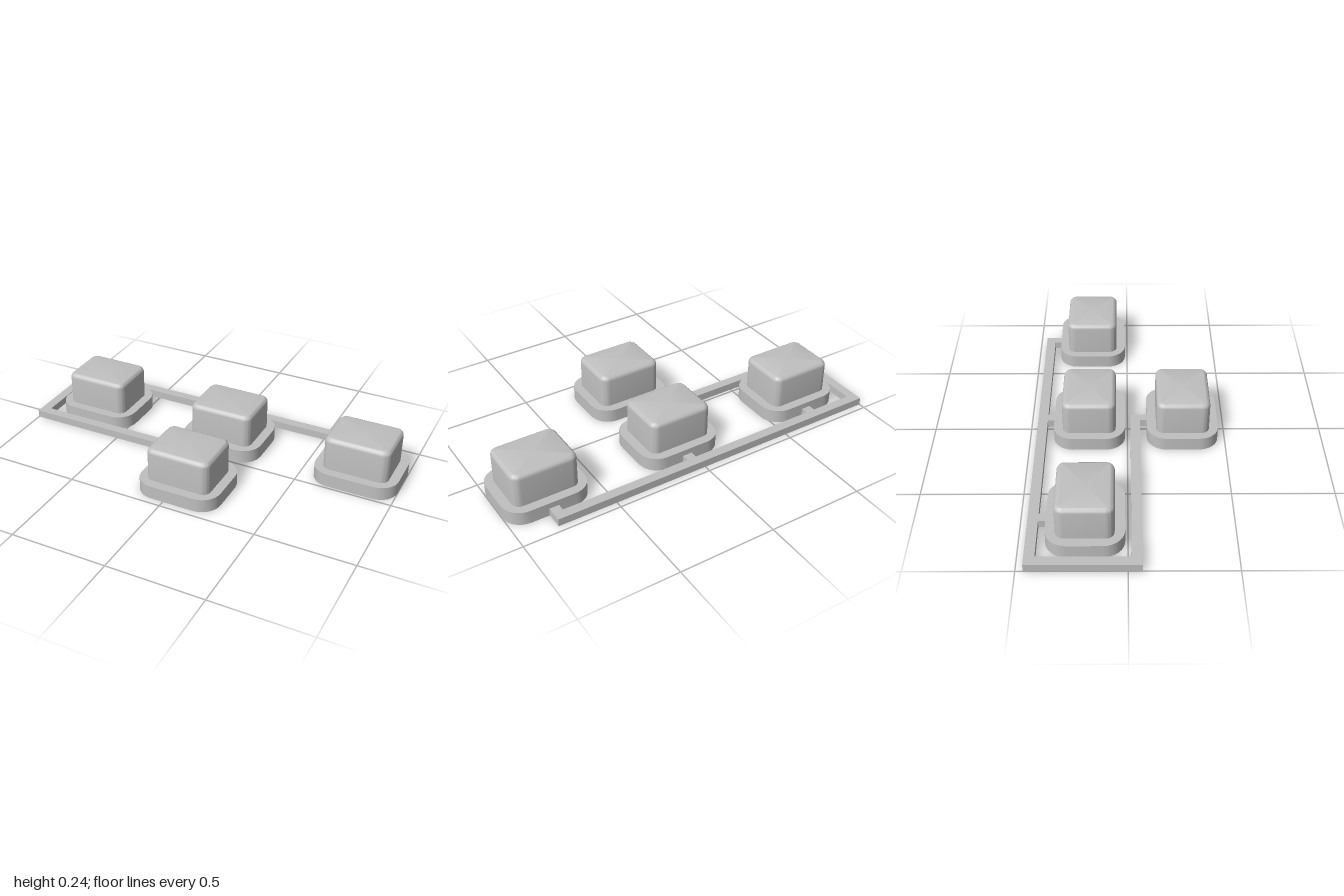
import * as THREE from 'three';
import { toCreasedNormals } from 'three/addons/utils/BufferGeometryUtils.js';

const BASE_H = 0.07, TOP_Y = 0.243, RUNNER_H = 0.04;

// Outline of a rounded rectangle in (x, z), counter-clockwise seen from +y
function roundedOutline(w, d, r, steps = 8) {
  const pts = [];
  [[1, 1], [-1, 1], [-1, -1], [1, -1]].forEach(([sx, sy], q) => {
    for (let i = 0; i <= steps; i++) {
      const a = (q + i / steps) * Math.PI / 2;
      pts.push(new THREE.Vector2(sx * (w / 2 - r) + r * Math.cos(a), sy * (d / 2 - r) + r * Math.sin(a)));
    }
  });
  return pts;
}

// Extrude a plan shape upwards from y = 0 (shape y is -z)
function extrudeUp(shape, height) {
  const g = new THREE.ExtrudeGeometry(shape, { depth: height, bevelEnabled: false, curveSegments: 32 });
  g.rotateX(-Math.PI / 2);
  return toCreasedNormals(g, 0.6);
}

// Flange with a round blind socket underneath
function flangeGeometry() {
  const shape = new THREE.Shape(roundedOutline(0.432, 0.365, 0.1));
  const hole = new THREE.Path();
  hole.absarc(0, 0, 0.11, 0, Math.PI * 2, true);
  shape.holes.push(hole);
  return extrudeUp(shape, BASE_H);
}

// Key cap: stacked outlines, with a fillet around the top edge
function capGeometry() {
  const w = 0.337, d = 0.27, r = 0.04, f = 0.025, steps = 6;
  const sections = [[0, BASE_H]];
  for (let i = 0; i <= steps; i++) {
    const a = i / steps * Math.PI / 2;
    sections.push([f * (1 - Math.cos(a)), TOP_Y - f + f * Math.sin(a)]);
  }
  const pos = [], index = [];
  let n = 0;
  for (const [inset, y] of sections) {
    const ring = roundedOutline(w - 2 * inset, d - 2 * inset, r - inset);
    n = ring.length;
    ring.forEach(p => pos.push(p.x, y, -p.y));
  }
  for (let s = 0; s < sections.length - 1; s++) {
    for (let i = 0; i < n; i++) {
      const j = (i + 1) % n, a = s * n, b = a + n;
      index.push(a + i, a + j, b + j, a + i, b + j, b + i);
    }
  }
  // Close bottom and top
  const last = (sections.length - 1) * n, c = pos.length / 3;
  pos.push(0, BASE_H, 0, 0, TOP_Y, 0);
  for (let i = 0; i < n; i++) {
    const j = (i + 1) % n;
    index.push(c, j, i, c + 1, last + i, last + j);
  }
  const g = new THREE.BufferGeometry();
  g.setAttribute('position', new THREE.Float32BufferAttribute(pos, 3));
  g.setIndex(index);
  return toCreasedNormals(g, 0.6);
}

export function createModel() {
  const model = new THREE.Group();
  model.name = 'buttonSet';
  const plastic = new THREE.MeshStandardMaterial({ color: 0xc0c0c0 });
  plastic.name = 'grey plastic';

  const add = (parent, geometry, name) => {
    const mesh = new THREE.Mesh(geometry, plastic);
    mesh.name = name;
    parent.add(mesh);
  };

  // Four identical buttons
  const flange = flangeGeometry(), cap = capGeometry();
  [['rightButton', -0.7, -0.195], ['middleButton', 0.048, -0.195],
    ['leftButton', 0.783, -0.195], ['frontButton', 0.048, 0.282]].forEach(([name, x, z]) => {
    const button = new THREE.Group();
    button.name = name;
    button.position.set(x, 0, z);
    add(button, flange, 'flange');
    add(button, cap, 'cap');
    model.add(button);
  });

  // Connecting runner: one flat outline with a short tab to each button
  const back = -0.465, backIn = -0.415, tabEnd = -0.376;
  const plan = [
    [-1, back], [0.806, back], [0.806, tabEnd], [0.756, tabEnd], [0.756, backIn],
    [0.073, backIn], [0.073, tabEnd], [0.023, tabEnd], [0.023, backIn],
    [-0.675, backIn], [-0.675, tabEnd], [-0.725, tabEnd], [-0.725, backIn],
    [-0.95, backIn], [-0.95, 0.016], [0.073, 0.016], [0.073, 0.102], [0.023, 0.102],
    [0.023, 0.065], [-1, 0.065],
  ];
  const shape = new THREE.Shape(plan.map(([x, z]) => new THREE.Vector2(x, -z)));
  add(model, extrudeUp(shape, RUNNER_H), 'runner');

  return model;
}
